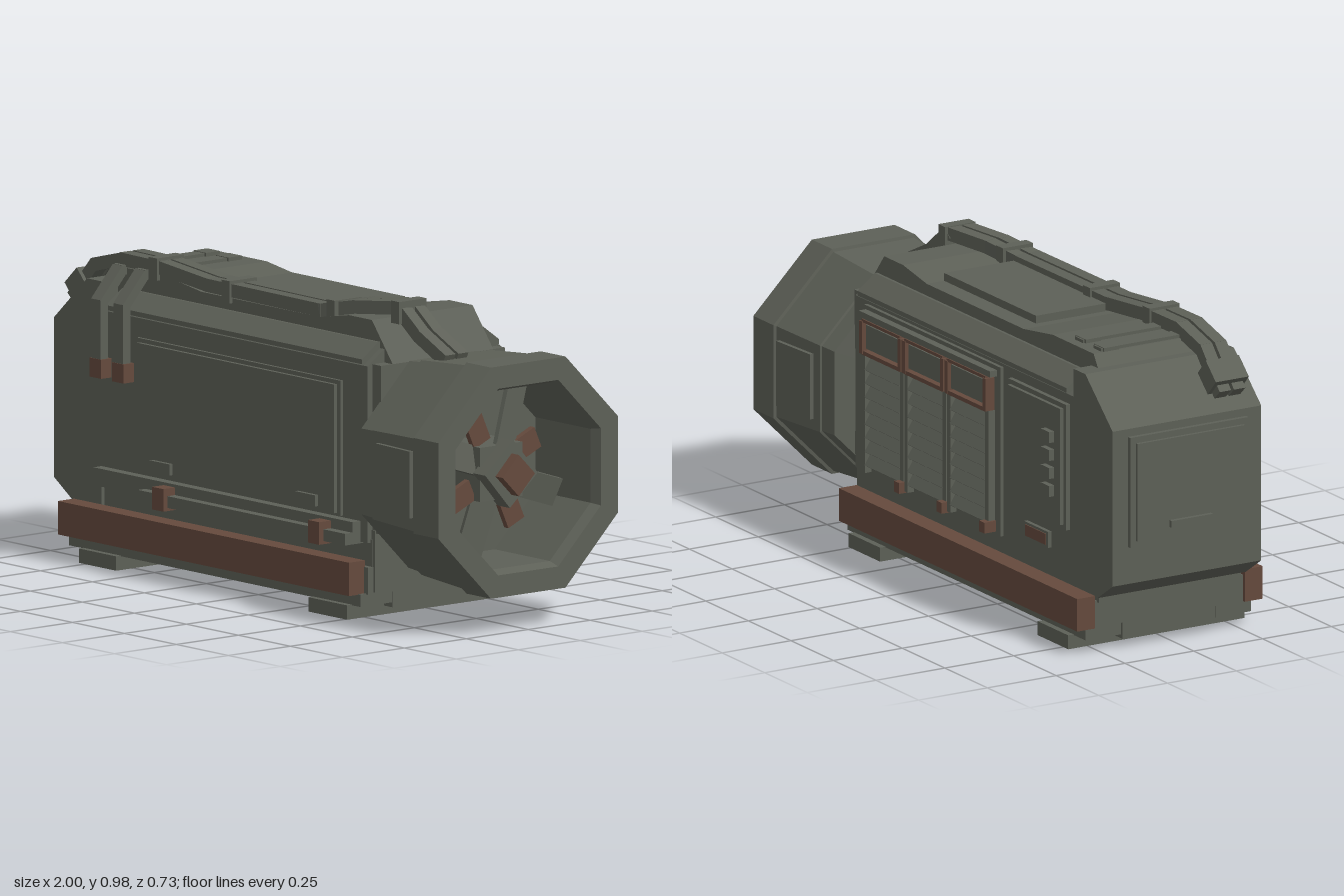
import * as THREE from 'three';

const grey = new THREE.MeshStandardMaterial({ color: 0x5d6057 });
grey.name = 'greyGreenPaint';
const rust = new THREE.MeshStandardMaterial({ color: 0x654a3d });
rust.name = 'rustBrownPaint';

export function createModel() {
  const model = new THREE.Group();
  model.name = 'generator';

  const add = (name, geo, mat = grey, parent = model) => {
    const mesh = new THREE.Mesh(geo, mat);
    mesh.name = name;
    parent.add(mesh);
    return mesh;
  };
  // Box given by its minimum and maximum on each axis
  const box = (name, x0, x1, y0, y1, z0, z1, mat = grey, parent = model) => {
    const m = add(name, new THREE.BoxGeometry(x1 - x0, y1 - y0, z1 - z0), mat, parent);
    m.position.set((x0 + x1) / 2, (y0 + y1) / 2, (z0 + z1) / 2);
    return m;
  };
  const shape = (pts) => new THREE.Shape(pts.map((p) => new THREE.Vector2(...p)));
  // Side profile (x, y) extruded evenly across z
  const profileXY = (name, pts, half) => {
    const g = new THREE.ExtrudeGeometry(shape(pts), { depth: half * 2, bevelEnabled: false });
    return add(name, g.translate(0, 0, -half));
  };
  // Cross-section (-z, y) extruded along x
  const profileZY = (name, pts, x0, x1) => {
    const g = new THREE.ExtrudeGeometry(shape(pts), { depth: x1 - x0, bevelEnabled: false });
    return add(name, g.rotateY(Math.PI / 2).translate(x0, 0, 0));
  };
  // Chain of square bars through a list of points
  const bars = (name, pts, w, h) => {
    const group = new THREE.Group();
    group.name = name;
    for (let i = 0; i < pts.length - 1; i++) {
      const a = new THREE.Vector3(...pts[i]);
      const b = new THREE.Vector3(...pts[i + 1]);
      const m = add(name + 'Segment', new THREE.BoxGeometry(w, h, a.distanceTo(b) + 0.012), grey, group);
      m.position.copy(a).add(b).multiplyScalar(0.5);
      m.lookAt(b);
    }
    model.add(group);
  };

  // Base: feet, runners, deck and side beams
  for (const [x0, x1] of [[-0.78, -0.6], [0.325, 0.51]]) box('foot', x0, x1, 0, 0.045, -0.32, 0.32);
  for (const s of [-1, 1]) {
    const sorted = (a, b) => (s > 0 ? [a, b] : [-b, -a]);
    box('runner', -0.85, 0.55, 0.043, 0.082, ...sorted(0.172, 0.3));
    box('sideBeam', -0.86, 0.54, 0.08, 0.185, ...sorted(0.272, 0.337), rust);
  }
  box('bellyPlate', -0.85, 0.55, 0.027, 0.082, -0.166, 0.17);
  box('deck', -0.85, 0.56, 0.08, 0.165, -0.277, 0.277);
  box('plinth', -0.86, 0.555, 0.16, 0.25, -0.258, 0.258);

  // Body: square end block and chamfered main housing
  profileXY('endBlock', [[-0.73, 0.18], [-0.73, 0.885], [-0.8, 0.885], [-0.96, 0.74], [-0.96, 0.24], [-0.87, 0.18]], 0.27);
  profileZY('housing', [[-0.27, 0.24], [0.27, 0.24], [0.27, 0.795], [0.205, 0.842], [-0.205, 0.842], [-0.27, 0.795]], -0.74, 0.55);
  box('collar', 0.54, 0.59, 0.27, 0.8, -0.25, 0.25);
  box('lowerCollar', 0.54, 0.567, 0.085, 0.28, -0.255, 0.255);
  profileXY('roof', [[-0.8, 0.83], [0.5, 0.83], [0.5, 0.8], [0.59, 0.8], [0.49, 0.925], [0.38, 0.925],
    [0.24, 0.9], [-0.33, 0.9], [-0.5, 0.925], [-0.74, 0.925]], 0.203);
  box('roofHatch', -0.3, 0.24, 0.89, 0.925, -0.14, 0.135);
  for (const s of [-1, 1]) {
    profileZY('topRail', [[s * 0.255, 0.795], [s * 0.276, 0.8], [s * 0.276, 0.815], [s * 0.212, 0.862], [s * 0.195, 0.862],
      [s * 0.195, 0.835]], -0.7, 0.53);
  }

  // Front side: access door, latches, lower pipe with brackets
  box('frontDoorFrame', -0.55, 0.43, 0.31, 0.735, 0.26, 0.28);
  box('frontDoor', -0.535, 0.415, 0.318, 0.722, 0.27, 0.292);
  for (const x of [-0.41, 0.29]) box('doorLatch', x - 0.048, x + 0.048, 0.33, 0.365, 0.27, 0.305);
  box('upperPipe', -0.73, 0.515, 0.27, 0.305, 0.26, 0.303);
  box('lowerPipe', -0.48, 0.515, 0.235, 0.272, 0.25, 0.333);
  for (const x of [-0.365, 0.385]) box('pipeBracket', x - 0.027, x + 0.027, 0.225, 0.296, 0.26, 0.35, rust);

  // Back side: three louvre columns under vent windows
  box('louvrePanel', -0.32, 0.48, 0.24, 0.785, -0.282, -0.26);
  box('ventHood', -0.3, 0.47, 0.752, 0.772, -0.308, -0.27);
  for (const x of [0.335, 0.085, -0.165]) {
    for (const s of [-1, 1]) {
      const c = x + s * 0.112;
      box('louvrePost', c - 0.01, c + 0.01, 0.255, 0.64, -0.305, -0.27);
      box('ventPost', c - 0.009, c + 0.009, 0.64, 0.745, -0.315, -0.27, rust);
    }
    box('ventTop', x - 0.112, x + 0.112, 0.742, 0.752, -0.312, -0.27, rust);
    box('ventSill', x - 0.112, x + 0.112, 0.637, 0.65, -0.312, -0.27, rust);
    box('ventCover', x - 0.097, x + 0.097, 0.658, 0.735, -0.305, -0.27);
    for (let i = 0; i < 8; i++) {
      const slat = add('louvreSlat', new THREE.BoxGeometry(0.205, 0.012, 0.042));
      slat.position.set(x, 0.295 + i * 0.044, -0.291);
      slat.rotation.x = -1;
    }
    box('louvreFoot', x - 0.13, x - 0.1, 0.25, 0.285, -0.325, -0.27, rust);
  }

  // Back side: control door with buttons and plate
  box('controlFrame', -0.71, -0.37, 0.36, 0.765, -0.285, -0.26);
  box('controlDoor', -0.695, -0.385, 0.375, 0.75, -0.297, -0.27);
  for (let i = 0; i < 4; i++) box('button', -0.66, -0.61, 0.46 + i * 0.058, 0.495 + i * 0.058, -0.315, -0.28);
  box('plateFrame', -0.6, -0.46, 0.275, 0.327, -0.283, -0.26);
  box('plate', -0.59, -0.47, 0.283, 0.319, -0.286, -0.28, rust);

  // End wall: hatch and handle
  box('endHatchFrame', -0.975, -0.95, 0.36, 0.715, -0.215, 0.215);
  box('endHatch', -0.986, -0.96, 0.38, 0.695, -0.195, 0.195);
  box('endHandle', -1, -0.98, 0.41, 0.432, -0.08, 0.07);

  // Cables along the roof
  const run = [[-0.95, 0.8, 0.16], [-0.845, 0.915, 0.16], [-0.71, 0.95, 0.16], [-0.53, 0.948, 0.16], [-0.3, 0.925, 0.16],
    [0.24, 0.922, 0.16], [0.36, 0.945, 0.125], [0.51, 0.957, 0.08], [0.6, 0.88, 0.07], [0.72, 0.82, 0.065]];
  for (const dz of [-0.026, 0.026]) bars('roofCable', run.map(([x, y, z]) => [x, y, z + dz]), 0.042, 0.042);
  for (const [x, y, z] of [[-0.55, 0.948, 0.16], [-0.2, 0.925, 0.16], [0.29, 0.93, 0.147], [0.52, 0.95, 0.08]]) {
    box('cableClamp', x - 0.02, x + 0.02, y - 0.04, y + 0.03, z - 0.055, z + 0.055);
  }
  const cableEnd = box('cableEnd', -0.955, -0.875, 0.81, 0.88, 0.1, 0.22);
  cableEnd.rotation.z = 0.75;

  // Straps over the roof, ending in plugs on the front
  for (const x of [-0.71, -0.603]) {
    bars('strap', [[x, 0.92, -0.165], [x, 0.92, 0.215], [x, 0.83, 0.295], [x, 0.65, 0.295]], 0.046, 0.03);
    box('strapClip', x - 0.03, x + 0.03, 0.915, 0.937, -0.165, -0.11);
    box('strapPlug', x - 0.028, x + 0.028, 0.59, 0.65, 0.262, 0.312, rust);
  }

  // Eight-sided fan shroud: [apothem, x] profile from the outside to the inner wall
  const cy = 0.477;
  const k = 1 / Math.cos(Math.PI / 8);
  const profile = [[0.01, 0.58], [0.325, 0.585], [0.33, 0.65], [0.337, 0.652], [0.353, 0.88], [0.363, 0.882], [0.363, 1],
    [0.293, 1], [0.28, 0.965], [0.28, 0.7], [0.001, 0.7]];
  const shroud = new THREE.LatheGeometry(profile.map(([r, x]) => new THREE.Vector2(r * k, x)), 8, Math.PI / 8).toNonIndexed();
  shroud.computeVertexNormals();
  shroud.rotateZ(-Math.PI / 2);
  add('fanShroud', shroud).position.y = cy;
  for (const s of [-1, 1]) {
    const panel = add('shroudPanel', new THREE.BoxGeometry(0.18, 0.21, 0.024));
    panel.position.set(0.775, cy, s * 0.347);
    panel.rotation.y = -s * 0.07;
  }

  // Fan, facing +x
  const fan = new THREE.Group();
  fan.name = 'fan';
  fan.position.set(0.84, cy, 0);
  fan.rotation.y = Math.PI / 2;
  model.add(fan);
  box('fanCore', -0.085, 0.085, -0.085, 0.085, -0.14, 0.03, grey, fan);
  const hub = add('fanHub', new THREE.BoxGeometry(0.15, 0.15, 0.06), grey, fan);
  hub.position.z = 0.05;
  hub.rotation.z = 0.72;
  const cap = add('fanCap', new THREE.BoxGeometry(0.092, 0.092, 0.04), rust, fan);
  cap.position.z = 0.095;
  cap.rotation.z = Math.PI / 4;
  for (let i = 0; i < 4; i++) {
    const arm = new THREE.Group();
    arm.name = 'fanArm';
    arm.rotation.z = (i * Math.PI) / 2;
    const blade = add('fanBlade', new THREE.BoxGeometry(0.09, 0.2, 0.015), grey, arm);
    blade.position.set(0.068, 0.165, -0.01);
    blade.rotation.set(0, 0.2, -0.32);
    const block = add('fanBlock', new THREE.BoxGeometry(0.07, 0.09, 0.02), rust, arm);
    block.position.set(-0.068, 0.132, -0.01);
    block.rotation.z = 0.42;
    fan.add(arm);
  }

  return model;
}
